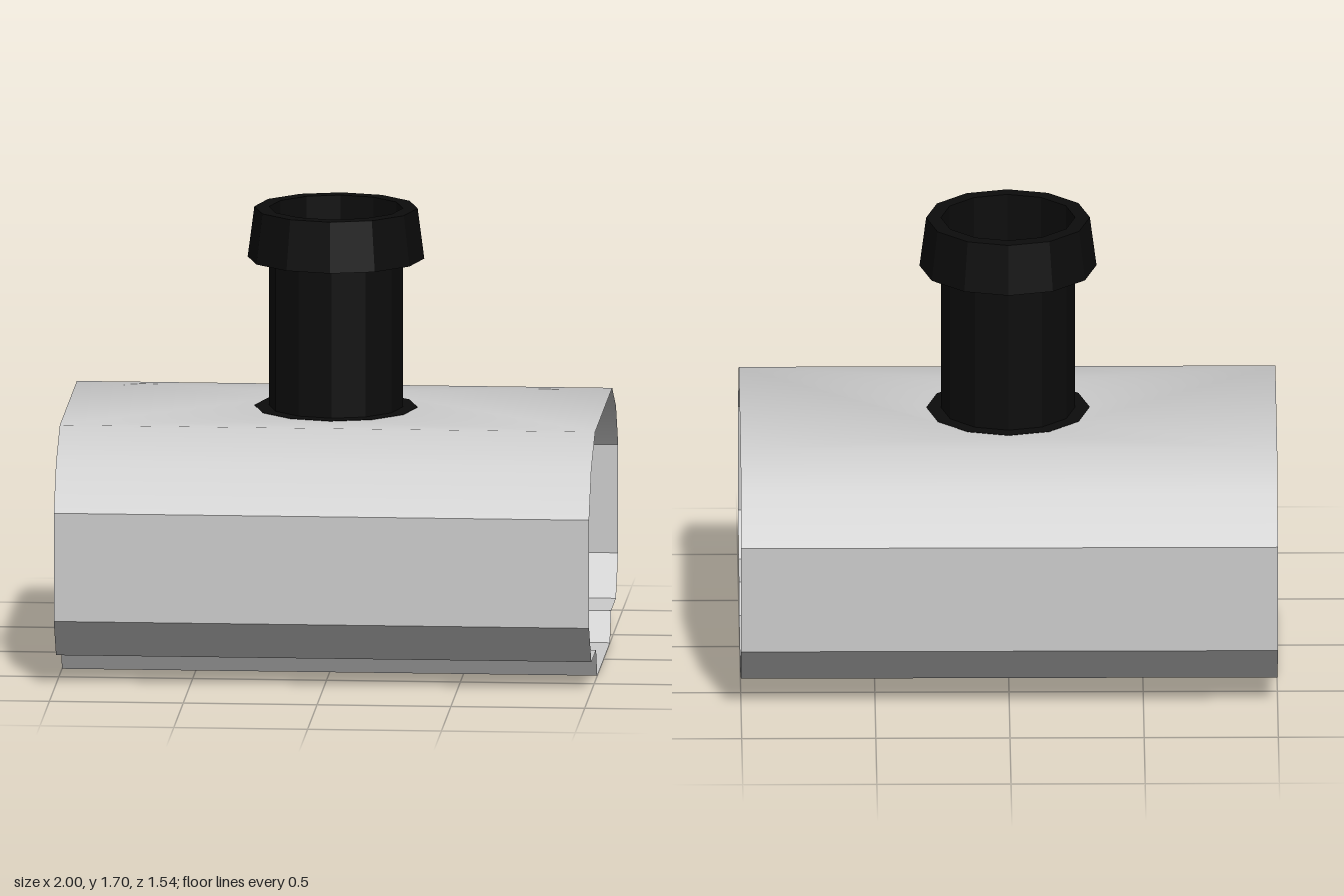
import * as THREE from 'three';

const HALF = 1, TOP_Y = 0.945, TOP_Z = 0.45, SIDES = 12, HOLE_R = 0.3;

// Blended normal [nz, ny] where the top panel meets the shoulder
const EDGE_N = [0.243, 0.97];

// Sheet swept along x through [z, y] points; optional [nz, ny] normals make it smooth
function sweep(points, normals) {
  const pos = [], nor = [];
  for (let i = 0; i < points.length - 1; i++) {
    for (const [x, k] of [[-1, 0], [1, 0], [1, 1], [-1, 0], [1, 1], [-1, 1]]) {
      const [z, y] = points[i + k];
      pos.push(x * HALF, y, z);
      if (normals) nor.push(0, normals[i + k][1], normals[i + k][0]);
    }
  }
  const g = new THREE.BufferGeometry();
  g.setAttribute('position', new THREE.Float32BufferAttribute(pos, 3));
  if (normals) {
    g.setAttribute('normal', new THREE.Float32BufferAttribute(nor, 3));
    g.normalizeNormals();
  } else g.computeVertexNormals();
  return g;
}

// Flat top panel with a twelve-sided opening for the pipe
function topPanelGeometry() {
  const shape = new THREE.Shape([
    new THREE.Vector2(-HALF, -TOP_Z), new THREE.Vector2(HALF, -TOP_Z),
    new THREE.Vector2(HALF, TOP_Z), new THREE.Vector2(-HALF, TOP_Z)]);
  const ring = [];
  for (let i = 0; i < SIDES; i++) {
    const a = -i / SIDES * Math.PI * 2;
    ring.push(new THREE.Vector2(Math.cos(a) * HOLE_R, Math.sin(a) * HOLE_R));
  }
  shape.holes.push(new THREE.Path(ring));
  const g = new THREE.ShapeGeometry(shape);
  g.rotateX(-Math.PI / 2).translate(0, TOP_Y, 0);
  // Long edges share the shoulder's smooth normal
  const p = g.attributes.position, n = g.attributes.normal;
  for (let i = 0; i < p.count; i++) {
    const z = p.getZ(i);
    if (Math.abs(z) > TOP_Z - 0.001) n.setXYZ(i, 0, EDGE_N[1], Math.sign(z) * EDGE_N[0]);
  }
  return g;
}

export function createModel() {
  const model = new THREE.Group();
  const shellMat = new THREE.MeshStandardMaterial({ color: 0xcccccc, side: THREE.DoubleSide });
  const pipeMat = new THREE.MeshStandardMaterial({ color: 0x0c0c0c, side: THREE.DoubleSide, flatShading: true });
  const add = (parent, name, geometry, material) => {
    const mesh = new THREE.Mesh(geometry, material);
    mesh.name = name;
    parent.add(mesh);
  };

  // Open-ended shell
  const shell = new THREE.Group();
  shell.name = 'shell';
  model.add(shell);

  // Flat sides and stepped floor, from the back round to the front
  add(shell, 'sidesAndFloor', sweep([
    [-0.77, 0.67], [-0.77, 0.26], [-0.65, 0.11], [-0.4, 0.11], [-0.335, 0],
    [0.335, 0], [0.4, 0.11], [0.65, 0.11], [0.77, 0.26], [0.77, 0.67]]), shellMat);

  // Rounded shoulders
  const curve = [[0.77, 0.67], [0.65, 0.84], [TOP_Z, TOP_Y]];
  const curveN = [[0.817, 0.577], [0.66, 0.75], EDGE_N];
  const mirror = (list) => list.map(([z, y]) => [-z, y]).reverse();
  add(shell, 'frontShoulder', sweep(curve, curveN), shellMat);
  add(shell, 'backShoulder', sweep(mirror(curve), mirror(curveN)), shellMat);
  add(shell, 'topPanel', topPanelGeometry(), shellMat);

  // Pipe with a tapered base flange and a tapered collar, open through the middle
  const pipe = new THREE.Group();
  pipe.name = 'pipe';
  model.add(pipe);
  const lathe = (pts) => new THREE.LatheGeometry(pts.map(([r, y]) => new THREE.Vector2(r, y)), SIDES);
  add(pipe, 'baseFlange', lathe([[0.25, 0.88], [0.305, TOP_Y + 0.002], [0.25, TOP_Y + 0.002]]), pipeMat);
  add(pipe, 'pipeWall', lathe([[0.25, 0.88], [0.25, 1.7]]), pipeMat);
  add(pipe, 'collar', lathe([[0.25, 1.51], [0.33, 1.51], [0.305, 1.7], [0.25, 1.7]]), pipeMat);

  return model;
}
